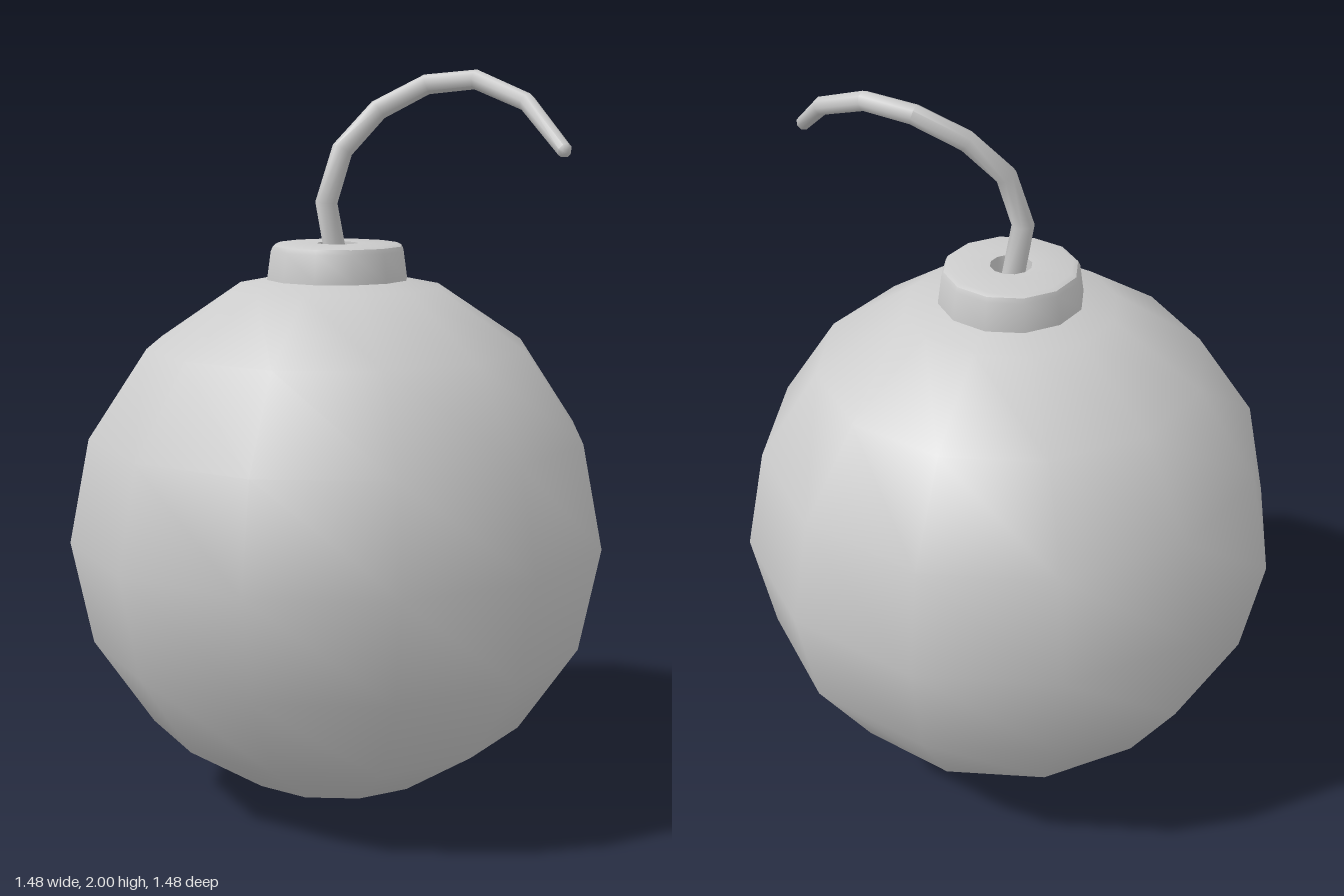
import * as THREE from 'three';
import { toCreasedNormals } from 'three/addons/utils/BufferGeometryUtils.js';

const grey = new THREE.MeshStandardMaterial({ color: 0xcccccc });

function addPart(group, name, geometry) {
  const mesh = new THREE.Mesh(geometry, grey);
  mesh.name = name;
  group.add(mesh);
  return mesh;
}

// Tube with one ring per [x, y, z, radius] entry, so it keeps its faceted bends
function taperedTube(rings, sides) {
  const centres = rings.map(([x, y, z]) => new THREE.Vector3(x, y, z));
  const curve = new THREE.CatmullRomCurve3(centres);
  curve.getUtoTmapping = (u) => u;
  const geometry = new THREE.TubeGeometry(curve, rings.length - 1, 1, sides);
  const position = geometry.attributes.position;
  const v = new THREE.Vector3();
  for (let i = 0; i < position.count; i++) {
    const ring = Math.floor(i / (sides + 1));
    v.fromBufferAttribute(position, i).sub(centres[ring]);
    v.multiplyScalar(rings[ring][3]).add(centres[ring]);
    position.setXYZ(i, v.x, v.y, v.z);
  }
  geometry.computeVertexNormals();
  return toCreasedNormals(geometry, 0.9);
}

export function createModel() {
  const group = new THREE.Group();
  group.name = 'bomb';

  // Round low-poly body
  const body = addPart(group, 'body', new THREE.SphereGeometry(0.74, 12, 8));
  body.position.y = 0.743;

  // Collar with a bevelled rim and a recessed hole for the fuse
  const profile = [
    [0.196, 1.41], [0.194, 1.45], [0.184, 1.522], [0.178, 1.535], [0.165, 1.541],
    [0.056, 1.541], [0.054, 1.49], [0, 1.49],
  ].map(([r, y]) => new THREE.Vector2(r, y));
  addPart(group, 'collar', toCreasedNormals(new THREE.LatheGeometry(profile, 12), 0.65));

  // Curved fuse, thinning to a blunt rounded tip
  addPart(group, 'fuse', taperedTube([
    [0, 1.48, 0, 0.03],
    [-0.012, 1.65, 0.03, 0.03],
    [0.01, 1.79, -0.008, 0.029],
    [0.052, 1.895, -0.1, 0.028],
    [0.14, 1.962, -0.195, 0.027],
    [0.265, 1.974, -0.253, 0.026],
    [0.43, 1.915, -0.271, 0.024],
    [0.615, 1.795, -0.21, 0.02],
    [0.625, 1.789, -0.207, 0.012],
    [0.627, 1.788, -0.206, 0],
  ], 8));

  return group;
}
